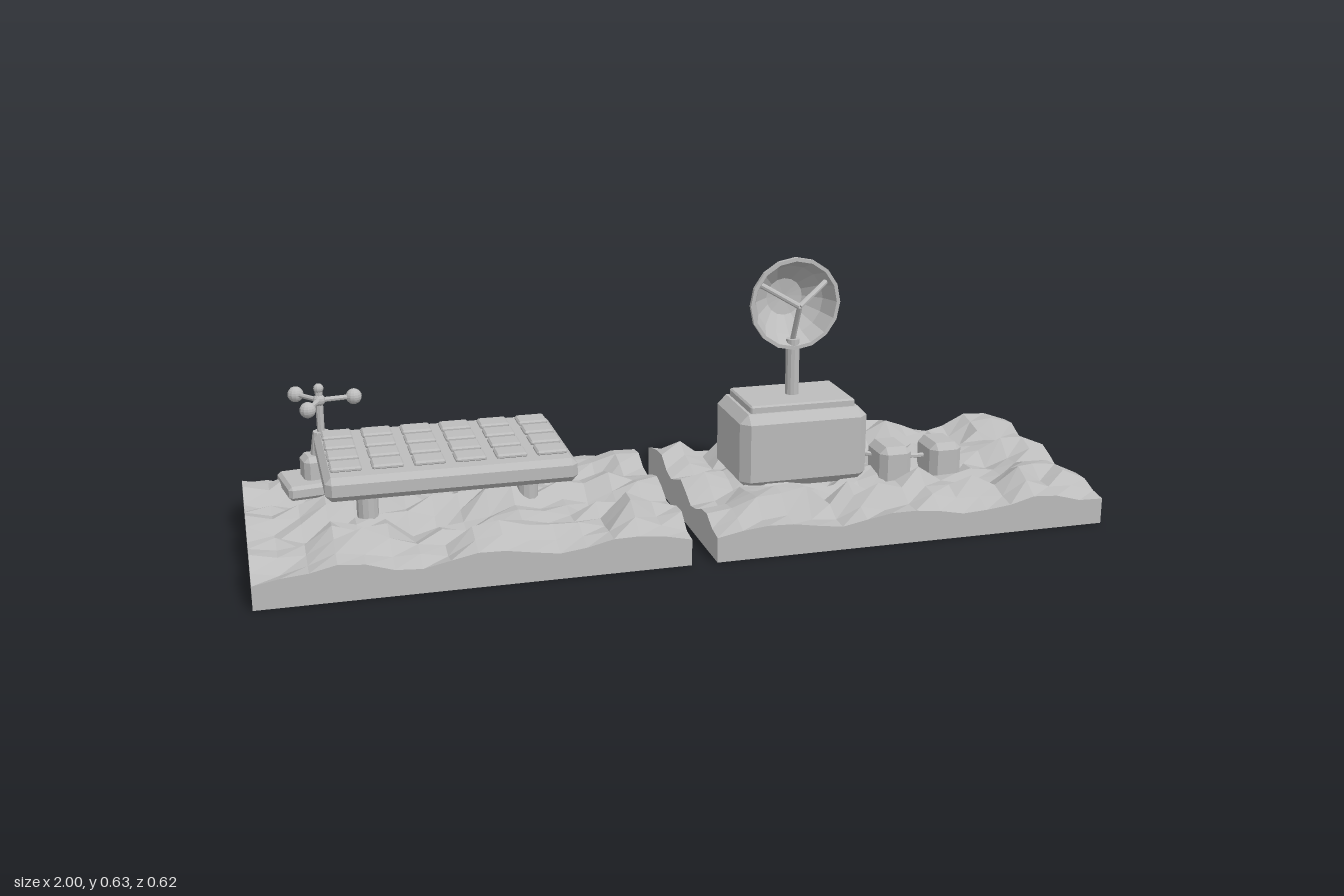
import * as THREE from 'three';
import { ConvexGeometry } from 'three/addons/geometries/ConvexGeometry.js';

const stone = new THREE.MeshStandardMaterial({ color: 0xbcbcbc, flatShading: true });
stone.name = 'plain grey';

function add(parent, name, geometry, x = 0, y = 0, z = 0) {
  const mesh = new THREE.Mesh(geometry, stone);
  mesh.name = name;
  mesh.position.set(x, y, z);
  parent.add(mesh);
  return mesh;
}

// Box with every edge cut at 45 degrees
function chamferBox(w, h, d, c) {
  const points = [];
  const [a, b, e] = [w / 2, h / 2, d / 2];
  for (const i of [-1, 1]) for (const j of [-1, 1]) for (const k of [-1, 1]) {
    points.push(
      new THREE.Vector3(i * a, j * (b - c), k * (e - c)),
      new THREE.Vector3(i * (a - c), j * b, k * (e - c)),
      new THREE.Vector3(i * (a - c), j * (b - c), k * e));
  }
  return new ConvexGeometry(points);
}

// Round bar between two points
function bar(parent, name, from, to, radius, sides = 8) {
  const a = new THREE.Vector3(...from), b = new THREE.Vector3(...to);
  const dir = b.clone().sub(a);
  const mesh = add(parent, name, new THREE.CylinderGeometry(radius, radius, dir.length(), sides));
  mesh.position.copy(a).add(b).multiplyScalar(0.5);
  mesh.quaternion.setFromUnitVectors(new THREE.Vector3(0, 1, 0), dir.normalize());
  return mesh;
}

// Rocky ground height: long waves plus bumps that fade towards the tile edges
function groundHeight(x, z) {
  const s = Math.sin(Math.round(x * 500) * 12.9898 + Math.round(z * 500) * 78.233) * 43758.5453;
  const rough = s - Math.floor(s) - 0.5;
  const edge = Math.min(0.31 - Math.abs(z), Math.abs(x) - 0.03, 1 - Math.abs(x));
  const inner = Math.min(1, Math.max(0, edge / 0.08));
  return 0.086 + 0.016 * Math.cos(z * Math.PI * 10) + 0.012 * Math.sin(19 * x + 5 * z + 3)
    + (0.01 + 0.048 * inner) * rough + 0.008 * inner;
}

function groundTile(parent, name, centreX) {
  const geometry = new THREE.BoxGeometry(0.97, 0.1, 0.62, 16, 1, 14);
  const p = geometry.attributes.position;
  for (let i = 0; i < p.count; i++) {
    p.setY(i, p.getY(i) > 0 ? groundHeight(p.getX(i) + centreX, p.getZ(i)) : 0);
  }
  geometry.computeVertexNormals();
  add(parent, name, geometry, centreX);
}

function solarPanel() {
  const g = new THREE.Group();
  g.name = 'solarPanel';
  add(g, 'panelFrame', chamferBox(0.56, 0.055, 0.368, 0.014), -0.55, 0.22, 0.04);
  for (let i = 0; i < 6; i++) for (let j = 0; j < 4; j++) {
    add(g, 'solarCell', chamferBox(0.07, 0.012, 0.058, 0.004),
      -0.55 + (i - 2.5) * 0.092, 0.251, 0.03 + (j - 1.5) * 0.078);
  }
  for (const x of [-0.727, -0.355]) {
    add(g, 'panelLeg', new THREE.CylinderGeometry(0.025, 0.025, 0.16, 12), x, 0.13, 0.04);
  }
  return g;
}

function windGauge() {
  const g = new THREE.Group();
  g.name = 'windGauge';
  g.position.set(-0.81, 0, -0.177);
  // Stepped foot, turned slightly
  add(g, 'footPlate', chamferBox(0.175, 0.035, 0.14, 0.008), -0.01, 0.11, 0).rotation.y = 0.16;
  add(g, 'footBlock', chamferBox(0.1, 0.09, 0.07, 0.012), 0, 0.137, 0).rotation.y = 0.16;
  add(g, 'cone', new THREE.CylinderGeometry(0.0195, 0.028, 0.055, 12), 0, 0.209, 0);
  bar(g, 'shaft', [0, 0.23, 0], [0, 0.34, 0], 0.009);
  add(g, 'topBall', new THREE.SphereGeometry(0.012, 10, 8), 0, 0.342, 0);
  add(g, 'hub', new THREE.SphereGeometry(0.015, 10, 8), 0, 0.313, 0);
  for (let i = 0; i < 3; i++) {
    const a = THREE.MathUtils.degToRad(22 + i * 120);
    const x = -0.083 * Math.sin(a), z = 0.083 * Math.cos(a);
    bar(g, 'arm', [0, 0.313, 0], [x, 0.313, z], 0.006);
    add(g, 'cup', new THREE.SphereGeometry(0.019, 12, 10), x, 0.313, z);
  }
  return g;
}

function station() {
  const g = new THREE.Group();
  g.name = 'dishStation';
  add(g, 'cabinet', chamferBox(0.324, 0.188, 0.227, 0.022), 0.32, 0.174, -0.025);
  add(g, 'cabinetLid', chamferBox(0.266, 0.024, 0.174, 0.004), 0.32, 0.274, -0.025);
  bar(g, 'mast', [0.32, 0.28, -0.024], [0.32, 0.425, -0.024], 0.017, 12);
  // Hollow dish facing the front
  const dish = new THREE.Group();
  dish.name = 'dish';
  dish.position.set(0.32, 0.514, 0);
  g.add(dish);
  const profile = [[0, -0.107], [0.045, -0.107], [0.054, -0.1], [0.094, -0.058], [0.114, -0.018],
    [0.114, -0.007], [0.105, -0.007], [0.086, -0.054], [0.046, -0.094], [0, -0.1]];
  add(dish, 'bowl', new THREE.LatheGeometry(profile.map(q => new THREE.Vector2(...q)), 16))
    .rotation.x = Math.PI / 2;
  add(dish, 'backRing', new THREE.TorusGeometry(0.013, 0.003, 6, 12), 0, 0, -0.106);
  for (let i = 0; i < 3; i++) {
    const a = Math.PI * (1 / 6 + i * 2 / 3);
    bar(dish, 'strut', [0.094 * Math.cos(a), 0.094 * Math.sin(a), -0.026], [0, 0, 0.02], 0.007);
  }
  // Small boxes joined to the cabinet by a cable
  for (const x of [0.548, 0.68]) {
    add(g, 'equipmentBox', chamferBox(0.082, 0.1, 0.105, 0.016), x, 0.117, 0.063);
  }
  const path = new THREE.CatmullRomCurve3([[0.46, 0.14, 0.02], [0.52, 0.132, 0.045],
    [0.61, 0.126, 0.06], [0.66, 0.126, 0.06]].map(q => new THREE.Vector3(...q)));
  add(g, 'cable', new THREE.TubeGeometry(path, 12, 0.006, 6));
  return g;
}

export function createModel() {
  const model = new THREE.Group();
  model.name = 'outpost';
  groundTile(model, 'leftGround', -0.515);
  groundTile(model, 'rightGround', 0.515);
  model.add(solarPanel(), windGauge(), station());
  return model;
}
